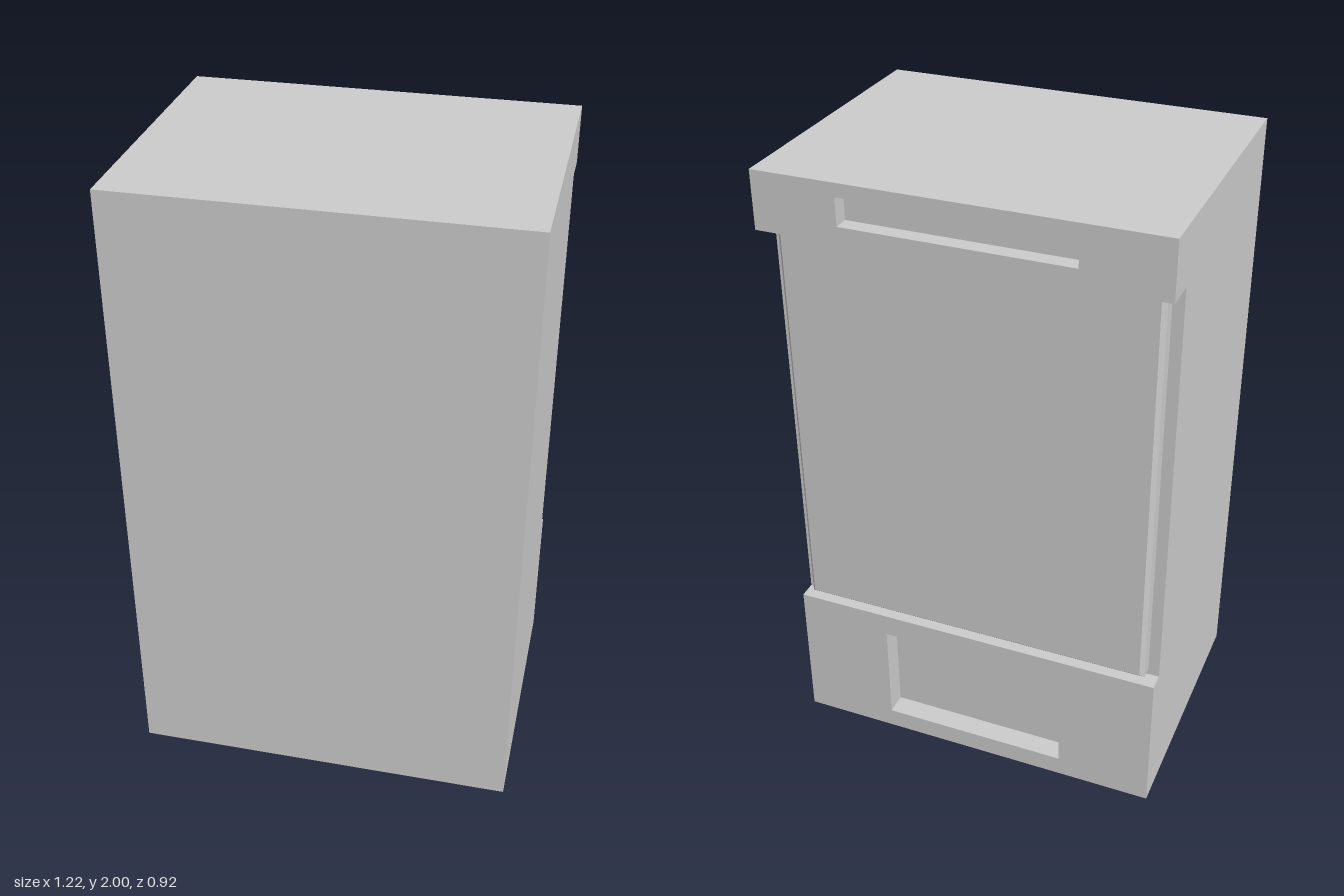
import * as THREE from 'three';

const material = new THREE.MeshStandardMaterial({ color: 0xcccccc, side: THREE.DoubleSide });

const W = 1.22;                        // cabinet width
const FRONT = 0.46, HEAD = -0.46, RECESS = -0.355, BASE = -0.41; // z planes
const TOP = 2, HEAD_Y = 1.82, BASE_Y = 0.48;

export function createModel() {
  const group = new THREE.Group();

  const add = (name, geometry, parent = group) => {
    const mesh = new THREE.Mesh(geometry, material);
    mesh.name = name;
    parent.add(mesh);
    return mesh;
  };

  // flat sheet facing +z, turned by rx / ry, then placed
  const sheet = (name, w, h, [x, y, z], rx = 0, ry = 0, parent = group) => {
    const g = new THREE.PlaneGeometry(w, h);
    g.rotateX(rx).rotateY(ry).translate(x, y, z);
    return add(name, g, parent);
  };

  // rear-facing panel with a rectangular pocket sunk into it
  const pocketPanel = (name, y0, y1, z, halfW, p0, p1, depth) => {
    const part = new THREE.Group();
    part.name = name;
    group.add(part);
    const rect = (C, hw, a, b) => new C([[-hw, a], [hw, a], [hw, b], [-hw, b]].map(p => new THREE.Vector2(...p)));
    const face = rect(THREE.Shape, W / 2, y0, y1);
    face.holes.push(rect(THREE.Path, halfW, p0, p1));
    add(name + 'Face', new THREE.ShapeGeometry(face).rotateY(Math.PI).translate(0, 0, z), part);
    const my = (p0 + p1) / 2, mz = z + depth / 2, q = Math.PI / 2;
    sheet('pocketBack', 2 * halfW, p1 - p0, [0, my, z + depth], 0, Math.PI, part);
    sheet('pocketFloor', 2 * halfW, depth, [0, p0, mz], -q, 0, part);
    sheet('pocketCeiling', 2 * halfW, depth, [0, p1, mz], q, 0, part);
    for (const s of [-1, 1]) sheet('pocketSide', depth, p1 - p0, [s * halfW, my, mz], 0, -s * q, part);
  };

  // side walls, cut to the stepped profile (the cabinet is open underneath)
  const profile = [[FRONT, 0], [FRONT, TOP], [HEAD, TOP], [HEAD, HEAD_Y], [RECESS, HEAD_Y],
    [RECESS, BASE_Y], [BASE, BASE_Y], [BASE, 0]];
  for (const s of [-1, 1]) {
    const shape = new THREE.Shape(profile.map(([z, y]) => new THREE.Vector2(-s * z, y)));
    const g = new THREE.ShapeGeometry(shape).rotateY(s * Math.PI / 2).translate(s * W / 2, 0, 0);
    add(s > 0 ? 'leftWall' : 'rightWall', g);
  }

  // plain sheets of the shell
  const level = (name, y, z0, z1, up) =>
    sheet(name, W, z1 - z0, [0, y, (z0 + z1) / 2], up ? -Math.PI / 2 : Math.PI / 2);
  sheet('frontWall', W, TOP, [0, TOP / 2, FRONT]);
  level('topPanel', TOP, HEAD, FRONT, true);
  level('headUnderside', HEAD_Y, HEAD, RECESS, false);
  level('baseLedge', BASE_Y, BASE, RECESS, true);
  sheet('recessWall', W, HEAD_Y - BASE_Y, [0, (HEAD_Y + BASE_Y) / 2, RECESS], 0, Math.PI);

  // head with a long slot, base with a larger opening
  pocketPanel('head', HEAD_Y, TOP, HEAD, 0.35, 1.872, 1.958, 0.05);
  pocketPanel('base', 0, BASE_Y, BASE, 0.305, 0.065, 0.405, 0.07);

  // raised door panel with a chamfered outer edge
  const doorW = 1.15, y0 = 0.502, y1 = 1.807, chamfer = 0.013;
  let door = new THREE.BoxGeometry(doorW, y1 - y0, 2, 1, 1, 2);
  const pos = door.attributes.position;
  for (let i = 0; i < pos.count; i++) {
    const x = pos.getX(i), y = pos.getY(i), layer = Math.round(pos.getZ(i));
    const inset = layer < 0 ? chamfer : 0;
    const z = layer > 0 ? RECESS : layer === 0 ? BASE + chamfer : BASE;
    pos.setXYZ(i, x - Math.sign(x) * inset, y - Math.sign(y) * inset, z);
  }
  door = door.toNonIndexed();
  door.computeVertexNormals();
  door.translate(0, (y0 + y1) / 2, 0);
  add('doorPanel', door);

  return group;
}
